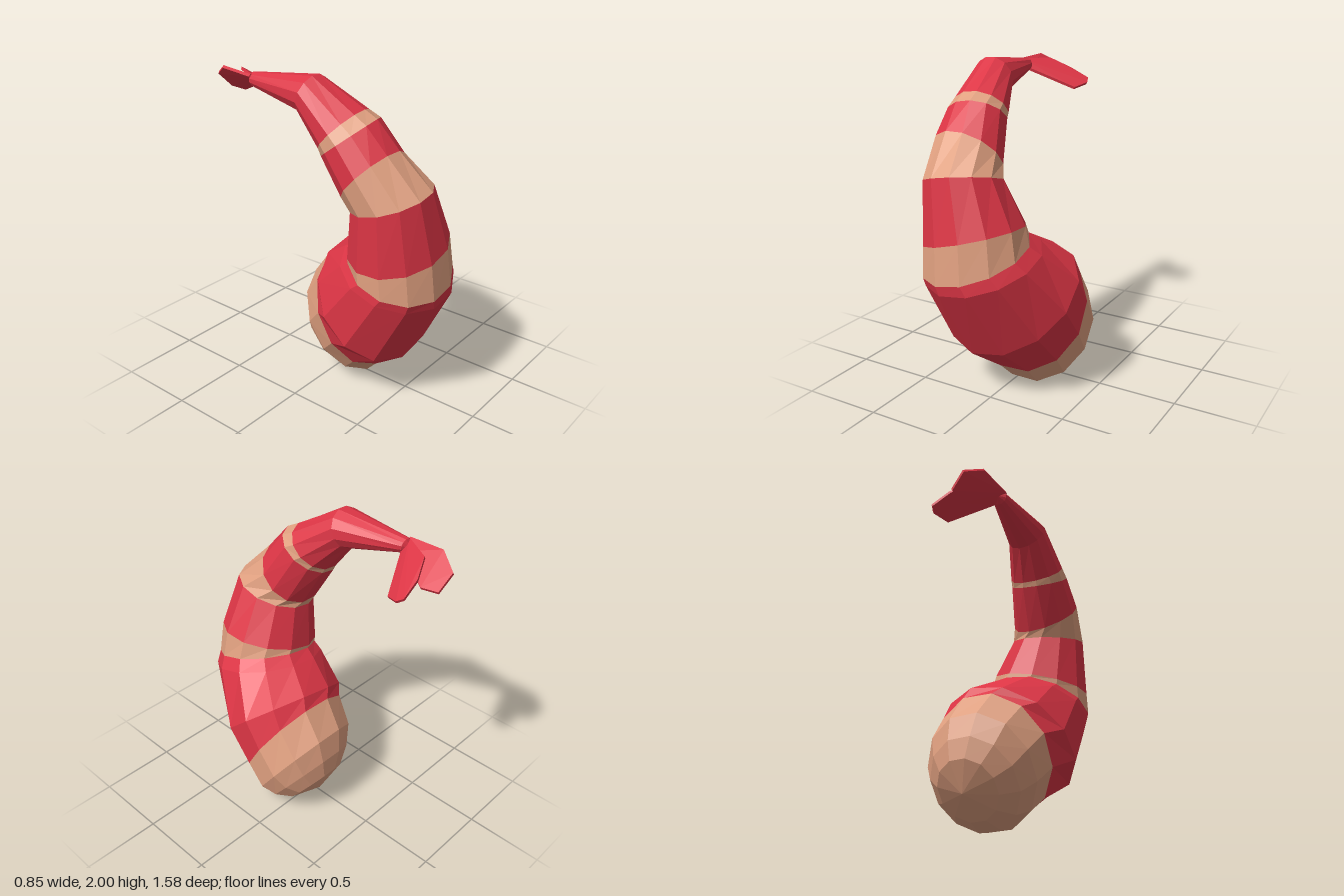
import * as THREE from 'three';
import { ConvexGeometry } from 'three/addons/geometries/ConvexGeometry.js';

const SIDES = 12;

// Each ring: outer point (z, y), inner point (z, y), centre x, half width, rise of the +x side
const RINGS = {
  pole: [-0.17, 0.16, -0.17, 0.16, 0.1, 0, 0],
  domeA: [0.0, 0.035, -0.25, 0.34, 0.09, 0.19, 0],
  domeB: [0.12, 0.0, -0.25, 0.47, 0.08, 0.28, 0],
  domeC: [0.21, 0.02, -0.22, 0.62, 0.07, 0.345, 0],
  headEdge: [0.3, 0.12, -0.09, 0.79, 0.05, 0.375, 0.02],
  belly: [0.54, 0.31, -0.05, 0.85, 0.01, 0.415, 0.08],
  chest: [0.78, 0.75, 0.13, 0.96, -0.06, 0.345, 0.05],
  bandA0: [0.79, 0.81, 0.2, 1.0, -0.085, 0.315, 0.06],
  bandA1: [0.77, 1.04, 0.2, 1.02, -0.1, 0.3, 0.08],
  bandB0: [0.71, 1.41, 0.25, 1.285, -0.17, 0.23, 0.04],
  bandB1: [0.51, 1.63, 0.23, 1.325, -0.21, 0.215, 0],
  bandC0: [0.38, 1.785, 0.09, 1.57, -0.235, 0.185, 0.03],
  bandC1: [0.3, 1.83, 0.075, 1.6, -0.24, 0.175, 0.02],
  hip: [0.02, 2.0, -0.06, 1.78, -0.275, 0.125, 0],
  neck: [-0.44, 1.955, -0.43, 1.87, -0.3, 0.045, 0],
  neckEnd: [-0.47, 1.91, -0.47, 1.91, -0.3, 0, 0],
};

function ringPoints([oz, oy, iz, iy, cx, rx, rise]) {
  const pts = [];
  const k = 1 / Math.cos(Math.PI / SIDES);
  for (let i = 0; i < SIDES; i++) {
    const a = ((i + 0.5) / SIDES) * Math.PI * 2;
    const c = Math.cos(a) * k, s = Math.sin(a) * k;
    pts.push([
      cx + s * rx,
      (oy + iy) / 2 + (c * (oy - iy)) / 2 + s * rise,
      (oz + iz) / 2 + (c * (oz - iz)) / 2,
    ]);
  }
  return pts;
}

// Flat-sided skin through a run of rings
function loft(names) {
  const pos = [];
  for (let r = 0; r < names.length - 1; r++) {
    const lo = RINGS[names[r]], hi = RINGS[names[r + 1]];
    const a = ringPoints(lo), b = ringPoints(hi);
    for (let i = 0; i < SIDES; i++) {
      const j = (i + 1) % SIDES;
      if (lo[5] > 0) pos.push(...a[i], ...a[j], ...b[j]);
      if (hi[5] > 0) pos.push(...a[i], ...b[j], ...b[i]);
      else pos.splice(pos.length, 0);
    }
  }
  const g = new THREE.BufferGeometry();
  g.setAttribute('position', new THREE.Float32BufferAttribute(pos, 3));
  g.computeVertexNormals();
  return g;
}

// Thin faceted tail blade from its outline
function blade(outline) {
  const pts = [];
  for (const [x, y, z] of outline) {
    pts.push(new THREE.Vector3(x, y, z), new THREE.Vector3(x - 0.008, y - 0.015, z));
  }
  return new ConvexGeometry(pts);
}

export function createModel() {
  const red = new THREE.MeshStandardMaterial({ color: 0xdc3545 });
  red.name = 'shell red';
  const tan = new THREE.MeshStandardMaterial({ color: 0xe0a080 });
  tan.name = 'band tan';

  const group = new THREE.Group();
  group.name = 'curledShrimp';
  const add = (name, geometry, material) => {
    const mesh = new THREE.Mesh(geometry, material);
    mesh.name = name;
    group.add(mesh);
  };

  // Body segments from the rounded end up to the tail
  add('roundedEnd', loft(['pole', 'domeA', 'domeB', 'domeC', 'headEdge']), tan);
  add('lowerBody', loft(['headEdge', 'belly', 'chest', 'bandA0']), red);
  add('lowerBand', loft(['bandA0', 'bandA1']), tan);
  add('middleBody', loft(['bandA1', 'bandB0']), red);
  add('middleBand', loft(['bandB0', 'bandB1']), tan);
  add('upperBody', loft(['bandB1', 'bandC0']), red);
  add('upperBand', loft(['bandC0', 'bandC1']), tan);
  add('tailBase', loft(['bandC1', 'hip', 'neck', 'neckEnd']), red);

  // Two tail blades spreading from the neck
  add('rightTailBlade', blade([
    [-0.34, 1.95, -0.43], [-0.26, 1.89, -0.43], [-0.32, 1.965, -0.67],
    [-0.25, 1.9, -0.79], [-0.16, 1.81, -0.77], [-0.15, 1.8, -0.66],
  ]), red);
  add('leftTailBlade', blade([
    [-0.33, 1.95, -0.43], [-0.26, 1.89, -0.43], [-0.22, 1.945, -0.62],
    [-0.09, 1.88, -0.68], [0.03, 1.82, -0.69], [0.045, 1.795, -0.65],
    [0.0, 1.77, -0.56],
  ]), red);

  return group;
}
